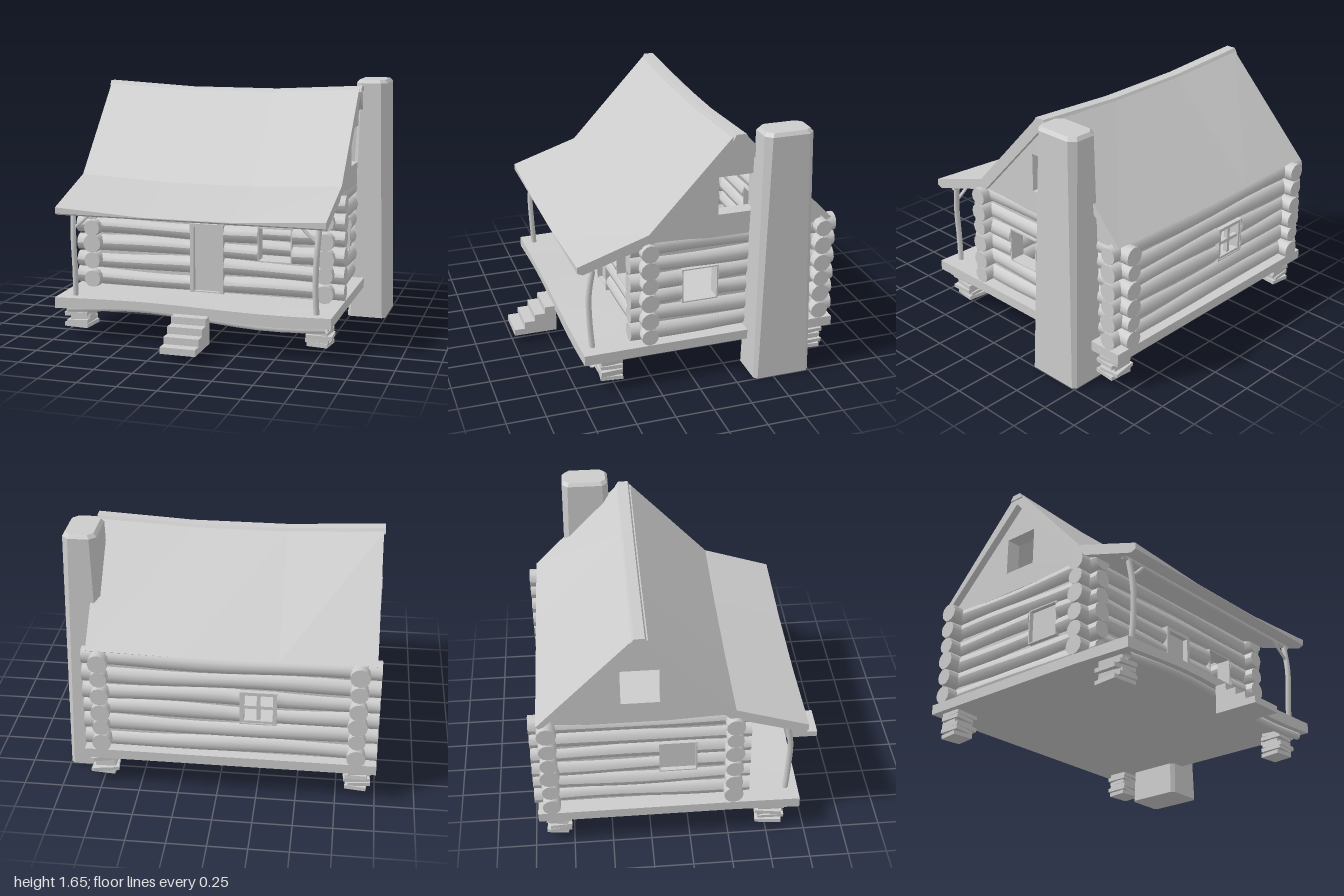
import * as THREE from 'three';

const mat = new THREE.MeshStandardMaterial({ color: 0xcccccc, side: THREE.DoubleSide });

function add(parent, name, geometry, x = 0, y = 0, z = 0) {
  const mesh = new THREE.Mesh(geometry, mat);
  mesh.name = name;
  mesh.position.set(x, y, z);
  parent.add(mesh);
  return mesh;
}

function group(parent, name) {
  const g = new THREE.Group();
  g.name = name;
  parent.add(g);
  return g;
}

// Polygon with rectangular holes [u0, u1, y0, y1]
function panelShape(points, holes = []) {
  const shape = new THREE.Shape(points.map(p => new THREE.Vector2(p[0], p[1])));
  for (const [a, b, c, d] of holes) {
    shape.holes.push(new THREE.Path([[a, c], [a, d], [b, d], [b, c]].map(p => new THREE.Vector2(...p))));
  }
  return shape;
}
const rect = (a, b, c, d) => [[a, c], [b, c], [b, d], [a, d]];

// Extrudes along z (centred), or along x from a (z, y) outline
function slab(points, holes, depth, alongX = false, steps = 1) {
  const g = new THREE.ExtrudeGeometry(panelShape(points, holes), { depth, steps, bevelEnabled: false });
  g.translate(0, 0, -depth / 2);
  if (alongX) g.rotateY(-Math.PI / 2);
  return g;
}

function tube(points, radius, sides = 7) {
  const curve = new THREE.CatmullRomCurve3(points.map(p => new THREE.Vector3(...p)));
  return new THREE.TubeGeometry(curve, 12, radius, sides);
}

// A slightly uneven log lying along x
function logGeometry(a, b, seed) {
  const g = new THREE.CylinderGeometry(0.058, 0.058, b - a, 12, 10);
  g.rotateZ(Math.PI / 2).translate((a + b) / 2, 0, 0);
  const p = g.attributes.position;
  for (let i = 0; i < p.count; i++) {
    const x = p.getX(i);
    const k = 1 + 0.07 * Math.sin(x * 5 + seed * 2.3);
    p.setXYZ(i, x, p.getY(i) * k + 0.007 * Math.sin(x * 4 + seed * 1.7), p.getZ(i) * k);
  }
  g.computeVertexNormals();
  return g;
}

const ROWS = 6, PITCH = 0.116, BASE = 0.28;
const LEFT = -0.87, RIGHT = 0.73, FRONT = 0.28, BACK = -0.88;

// Stacked logs, cut where an opening [u0, u1, y0, y1] covers the row
function logWall(parent, name, a, b, openings, seed) {
  const wall = group(parent, name);
  for (let r = 0; r < ROWS; r++) {
    const y = BASE + PITCH * (r + 0.5);
    let start = a;
    for (const [u0, u1, y0, y1] of openings) {
      if (y < y0 || y > y1) continue;
      add(wall, 'log', logGeometry(start, u0, seed + r), 0, y);
      start = u1;
    }
    add(wall, 'log', logGeometry(start, b, seed + r), 0, y);
  }
  for (const [u0, u1, y0, y1] of openings) {
    const t = 0.008;
    add(wall, 'openingFrame', slab(rect(u0, u1, y0, y1), [[u0 + t, u1 - t, y0 + t, y1 - t]], 0.1));
  }
  return wall;
}

// Lowers the middle of a long roof piece; profile points are [z, y, sag]
function saggingRoof(profile, x0, x1) {
  const g = slab(profile, [], x1 - x0, true, 3);
  g.translate((x0 + x1) / 2, 0, 0);
  const p = g.attributes.position;
  for (let i = 0; i < p.count; i++) {
    if (p.getX(i) < x0 + 0.1 || p.getX(i) > x1 - 0.1) continue;
    const z = p.getZ(i), y = p.getY(i);
    const hit = profile.find(q => Math.hypot(q[0] - z, q[1] - y) < 1e-4);
    p.setY(i, y - (hit ? hit[2] : 0));
  }
  g.computeVertexNormals();
  return g;
}

export function createModel() {
  const cabin = new THREE.Group();
  cabin.name = 'logCabin';

  // Log walls and their flat inner lining
  const door = [-0.19, 0.04, 0.28, 0.744];
  const frontWindow = [0.27, 0.5, 0.512, 0.744];
  const backWindow = [-0.37, -0.14, 0.512, 0.744];
  const sideWindow = [-0.19, 0.05, 0.512, 0.744];
  const top = BASE + ROWS * PITCH;

  logWall(cabin, 'frontWall', -1, 0.845, [door, frontWindow], 0).position.z = FRONT;
  logWall(cabin, 'backWall', -1, 0.845, [backWindow], 9).position.z = BACK;
  add(cabin, 'frontLining', slab(rect(LEFT, RIGHT, BASE, top), [frontWindow], 0.04), 0, 0, FRONT);
  add(cabin, 'backLining', slab(rect(LEFT, RIGHT, BASE, top), [backWindow], 0.04), 0, 0, BACK);

  for (const [x, name, seed, holes] of [[LEFT, 'rightSide', 17, []], [RIGHT, 'leftSide', 25, [sideWindow]]]) {
    const wall = logWall(cabin, name + 'Wall', -0.99, 0.39, [sideWindow], seed);
    wall.rotation.y = -Math.PI / 2;
    wall.position.x = x;
    add(cabin, name + 'Lining', slab(rect(BACK, FRONT, BASE, top), holes, 0.04, true), x);
    // Gable with a square window
    const gable = [[0.25, 0.94], [0.25, 0.97], [-0.3, 1.56], [-0.88, 1.0], [-0.88, 0.94]];
    add(cabin, name + 'Gable', slab(gable, [[-0.42, -0.18, 1.09, 1.34]], 0.1, true), x);
  }

  // Door with its frame
  add(cabin, 'doorFrame', slab([[-0.19, 0.28], [-0.165, 0.28], [-0.165, 0.72], [0.015, 0.72],
    [0.015, 0.28], [0.04, 0.28], [0.04, 0.744], [-0.19, 0.744]], [], 0.12), 0, 0, FRONT);
  add(cabin, 'door', new THREE.BoxGeometry(0.18, 0.44, 0.03), -0.075, 0.5, FRONT + 0.01);

  // Back window frame and glazing bars
  const sash = group(cabin, 'backWindowSash');
  const [u0, u1, v0, v1] = backWindow;
  add(sash, 'frame', slab(rect(u0, u1, v0, v1), [[u0 + 0.025, u1 - 0.025, v0 + 0.025, v1 - 0.025]], 0.05), 0, 0, BACK - 0.02);
  add(sash, 'verticalBar', new THREE.BoxGeometry(0.022, 0.22, 0.03), (u0 + u1) / 2, (v0 + v1) / 2, BACK - 0.02);
  add(sash, 'horizontalBar', new THREE.BoxGeometry(0.22, 0.022, 0.03), (u0 + u1) / 2, (v0 + v1) / 2, BACK - 0.02);

  // Sagging roof and ridge cap
  add(cabin, 'roof', saggingRoof([
    [0.735, 0.88, 0.035], [0.28, 1.03, 0.03], [-0.25, 1.6, 0.03], [-0.345, 1.6, 0.03], [-0.94, 0.985, 0.012],
    [-0.91, 0.965, 0], [-0.3, 1.55, 0], [0.24, 0.97, 0], [0.7, 0.825, 0], [0.735, 0.84, 0]], -0.97, 0.81));
  add(cabin, 'ridgeCap', saggingRoof([
    [-0.25, 1.585, 0.03], [-0.268, 1.62, 0.033], [-0.333, 1.62, 0.033], [-0.355, 1.585, 0.03]], -0.98, 0.825));

  // Deck, warped along the porch edge
  const wave = x => 0.022 * Math.sin((x + 0.85) * 3.6);
  const deckGeo = new THREE.BoxGeometry(1.845, 0.065, 1.68, 16, 1, 8);
  deckGeo.translate(-0.0775, 0.2475, -0.13);
  const p = deckGeo.attributes.position;
  for (let i = 0; i < p.count; i++) {
    const w = THREE.MathUtils.clamp((p.getZ(i) - 0.3) / 0.41, 0, 1);
    const lower = p.getY(i) < 0.25 ? 1 : 0.4;
    p.setY(i, p.getY(i) + w * wave(p.getX(i)) * lower);
  }
  deckGeo.computeVertexNormals();
  add(cabin, 'deck', deckGeo);
  const beam = [-0.93, -0.6, -0.4, -0.1, 0.1, 0.35, 0.6, 0.8].map(x => [x, 0.2 + 1.2 * wave(x), 0.65]);
  add(cabin, 'deckBeam', tube(beam, 0.026));

  // Porch posts, braces and header
  for (const [x, s] of [[-0.885, 1], [0.735, -1]]) {
    const post = group(cabin, 'porchPost');
    add(post, 'post', tube([[x, 0.27, 0.63], [x + 0.006 * s, 0.45, 0.642], [x, 0.65, 0.645], [x - 0.01 * s, 0.85, 0.615]], 0.019));
    add(post, 'brace', tube([[x, 0.73, 0.635], [x + 0.06 * s, 0.78, 0.63], [x + 0.12 * s, 0.84, 0.62]], 0.011, 6));
  }
  add(cabin, 'porchHeader', tube([[-0.94, 0.842, 0.615], [-0.08, 0.842, 0.615], [0.78, 0.842, 0.615]], 0.018));

  // Stone piers under the corners
  for (const x of [-0.885, 0.735]) for (const z of [0.525, -0.84]) {
    const pier = group(cabin, 'pier');
    for (let i = 0; i < 6; i++) {
      const k = i * 2.1 + x * 3 + z;
      const stone = add(pier, 'stone', new THREE.BoxGeometry(0.15 + 0.02 * Math.sin(k * 2), 0.026, 0.15 + 0.02 * Math.cos(k * 3)),
        x + 0.009 * Math.sin(k), 0.066 + i * 0.0265, z + 0.009 * Math.cos(k));
      stone.rotation.set(0.06 * Math.sin(k * 5) * (i > 0), 0.12 * Math.sin(k * 4), 0.06 * Math.cos(k * 3) * (i > 0));
    }
  }

  // Front steps
  const stair = [[0.7, 0.05], [0.99, 0.05]];
  for (let i = 0; i < 4; i++) {
    const y = 0.093 + i * 0.046, z = 0.99 - i * 0.071;
    stair.push([z, y], [z - 0.071, y]);
  }
  stair.push([0.7, 0.231]);
  add(cabin, 'steps', slab(stair, [], 0.23, true), -0.055);

  // Tapered chimney lofted through chamfered rectangles [y, x0, x1, z0, z1, chamfer]
  const sections = [[0, 0.735, 1, -0.75, -0.37, 0.022], [1.63, 0.757, 0.968, -0.722, -0.405, 0.04],
    [1.652, 0.775, 0.95, -0.705, -0.422, 0.035]];
  const rings = sections.map(([y, a, b, c, d, e]) => [
    [a + e, y, c], [a, y, c + e], [a, y, d - e], [a + e, y, d],
    [b - e, y, d], [b, y, d - e], [b, y, c + e], [b - e, y, c]]);
  const verts = [];
  const tri = (...t) => t.forEach(v => verts.push(...v));
  for (let s = 0; s < 2; s++) for (let i = 0; i < 8; i++) {
    const j = (i + 1) % 8, lo = rings[s], hi = rings[s + 1];
    tri(lo[i], lo[j], hi[j]);
    tri(lo[i], hi[j], hi[i]);
  }
  for (let i = 1; i < 7; i++) {
    tri(rings[2][0], rings[2][i], rings[2][i + 1]);
    tri(rings[0][0], rings[0][i + 1], rings[0][i]);
  }
  const chimney = new THREE.BufferGeometry();
  chimney.setAttribute('position', new THREE.Float32BufferAttribute(verts, 3));
  chimney.computeVertexNormals();
  add(cabin, 'chimney', chimney);

  return cabin;
}
